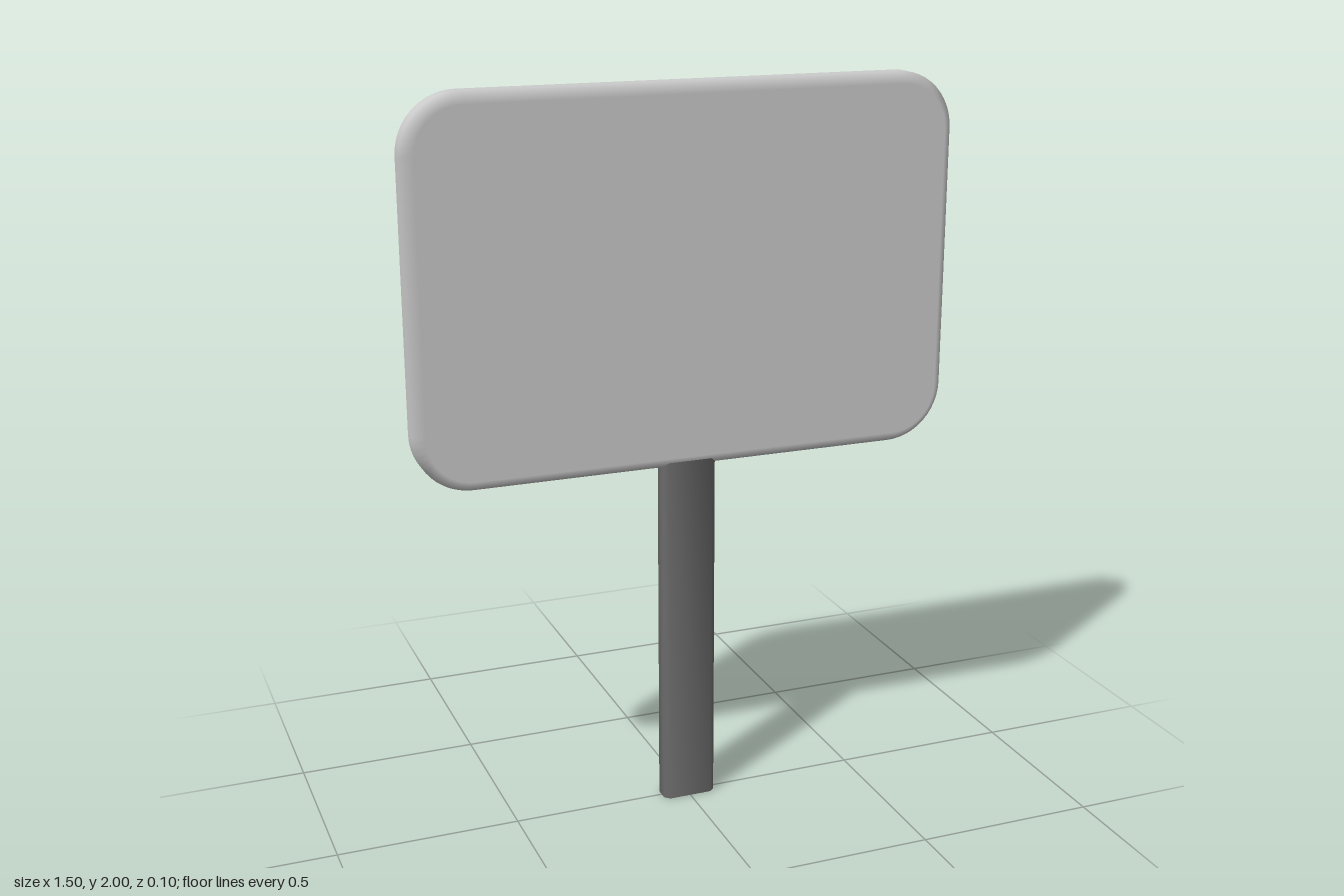
import * as THREE from 'three';
import { toCreasedNormals } from 'three/addons/utils/BufferGeometryUtils.js';

const W = 1.5, BOTTOM = 0.985, TOP = 2, DEPTH = 0.1, RADIUS = 0.155, BEVEL = 0.03;

// Outline of a rectangle with rounded corners, centred on the origin
function roundedRect(w, h, r) {
  const x = w / 2 - r, y = h / 2 - r;
  const shape = new THREE.Shape();
  shape.absarc(x, y, r, 0, Math.PI / 2);
  shape.absarc(-x, y, r, Math.PI / 2, Math.PI);
  shape.absarc(-x, -y, r, Math.PI, Math.PI * 1.5);
  shape.absarc(x, -y, r, Math.PI * 1.5, Math.PI * 2);
  return shape;
}

// Board with a chamfered rim, shaded softly from the flat faces to the edge
function boardGeometry() {
  const h = TOP - BOTTOM;
  const geo = new THREE.ExtrudeGeometry(roundedRect(W, h, RADIUS), {
    depth: DEPTH - 2 * BEVEL, curveSegments: 6,
    bevelThickness: BEVEL, bevelSize: BEVEL, bevelOffset: -BEVEL, bevelSegments: 1,
  });
  geo.translate(0, 0, BEVEL - DEPTH / 2);
  const pos = geo.attributes.position, normal = geo.attributes.normal;
  const cx = W / 2 - RADIUS, cy = h / 2 - RADIUS;
  const n = new THREE.Vector3();
  for (let i = 0; i < pos.count; i++) {
    const x = pos.getX(i), y = pos.getY(i), z = pos.getZ(i);
    if (Math.abs(z) > DEPTH / 2 - 0.001) n.set(0, 0, Math.sign(z));
    else n.set(x - THREE.MathUtils.clamp(x, -cx, cx), y - THREE.MathUtils.clamp(y, -cy, cy), 0).normalize();
    normal.setXYZ(i, n.x, n.y, n.z);
  }
  return geo.translate(0, (TOP + BOTTOM) / 2, 0);
}

// Flat post with chamfered upright edges
function postGeometry(w, d, c, height) {
  const x = w / 2, z = d / 2;
  const outline = [[x, z - c], [x - c, z], [c - x, z], [-x, z - c], [-x, c - z], [c - x, -z], [x - c, -z], [x, c - z]];
  const shape = new THREE.Shape(outline.map(([a, b]) => new THREE.Vector2(a, b)));
  const geo = new THREE.ExtrudeGeometry(shape, { depth: height, bevelEnabled: false });
  geo.rotateX(-Math.PI / 2);
  return toCreasedNormals(geo, Math.PI / 3.5);
}

export function createModel() {
  const group = new THREE.Group();
  group.name = 'signpost';

  const board = new THREE.Mesh(boardGeometry(), new THREE.MeshStandardMaterial({ color: 0xcccccc }));
  board.name = 'board';

  const post = new THREE.Mesh(postGeometry(0.15, 0.066, 0.014, 1.0), new THREE.MeshStandardMaterial({ color: 0x6b6b6b }));
  post.name = 'post';

  group.add(board, post);
  return group;
}
